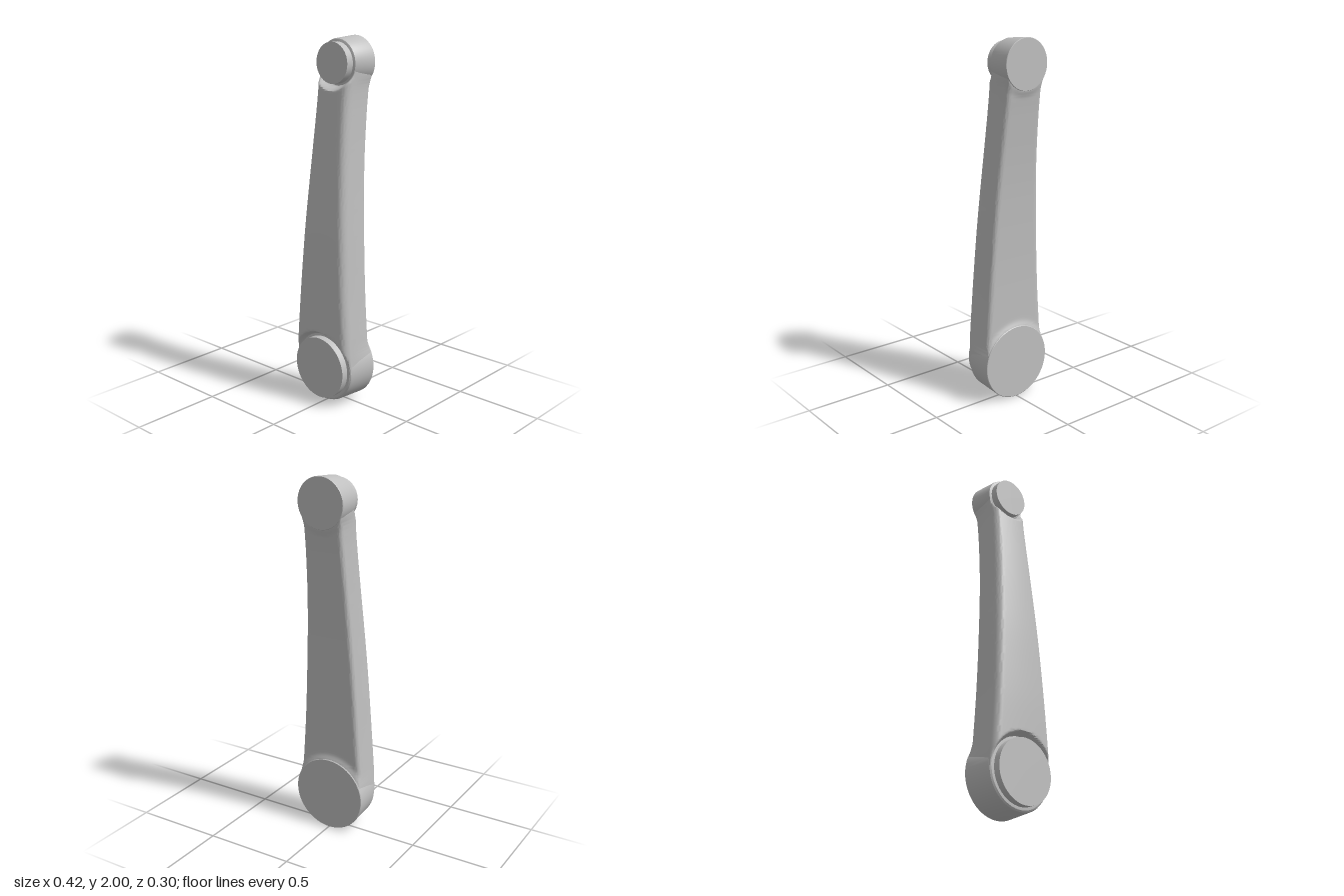
import * as THREE from 'three';
import { toCreasedNormals } from 'three/addons/utils/BufferGeometryUtils.js';

// Bosses at both ends: centre height, front and back planes, fillet radii
const BOTTOM = { y: 0.21, front: 0.108, back: -0.072, cut: [0.182, 0.21], fillet: [0.2, 0.255] };
const TOP = { y: 1.865, front: -0.002, back: -0.148, cut: [0.115, 0.145], fillet: [0.125, 0.19] };

// Arm stations: height, half width, front z, back z
const STATIONS = [
  [0.21, 0.198, 0.147, -0.055], [0.3, 0.193, 0.147, -0.055], [0.4, 0.186, 0.147, -0.055],
  [0.6, 0.172, 0.144, -0.056], [0.8, 0.16, 0.136, -0.06], [1.0, 0.148, 0.125, -0.068],
  [1.2, 0.136, 0.109, -0.079], [1.4, 0.125, 0.09, -0.096], [1.6, 0.117, 0.068, -0.118],
  [1.73, 0.115, 0.053, -0.134], [1.865, 0.12, 0.037, -0.143],
];

function armGeometry() {
  const [width, front, back] = [1, 2, 3].map(
    (k) => new THREE.SplineCurve(STATIONS.map((s) => new THREE.Vector2(s[0], s[k]))));
  const rows = 180, half = 36, ring = half * 2 + 2;
  const round = (x, w, r) => {
    const e = Math.min(1, Math.max(0, (Math.abs(x) - (w - r)) / r));
    return 1 - Math.sqrt(1 - e * e);
  };
  const pos = [], index = [];
  for (let j = 0; j <= rows; j++) {
    const { x: y, y: w } = width.getPoint(j / rows);
    const zf = front.getPoint(j / rows).y, zb = back.getPoint(j / rows).y;
    const boss = y < 1 ? BOTTOM : TOP;
    for (let i = 0; i < ring; i++) {
      const isFront = i <= half;
      const t = isFront ? i / half : 1 - (i - half - 1) / half;
      const s = Math.sin((t - 0.5) * Math.PI), x = s * w;
      const d = Math.hypot(x, y - boss.y);
      let z;
      if (isFront) {
        // crowned face with rounded edges, scooped out around the boss
        z = zf - 0.012 * s * s - 0.045 * round(x, w, 0.035);
        const low = Math.min(z, boss.front - 0.004);
        z = THREE.MathUtils.lerp(low, z, THREE.MathUtils.smoothstep(d, ...boss.cut));
      } else {
        // flat back, flaring up to meet the boss
        z = zb + 0.025 * round(x, w, 0.025);
        const k = 1 - THREE.MathUtils.smoothstep(d, ...boss.fillet);
        z = THREE.MathUtils.lerp(z, boss.back + 0.004, k * k);
      }
      pos.push(x, y, z);
      if (j < rows) {
        const a = j * ring + i, b = j * ring + ((i + 1) % ring);
        index.push(a, b, b + ring, a, b + ring, a + ring);
      }
    }
  }
  const g = new THREE.BufferGeometry();
  g.setAttribute('position', new THREE.Float32BufferAttribute(pos, 3));
  g.setIndex(index);
  return toCreasedNormals(g, 0.7);
}

// Round part turned about the z axis from [radius, z] points, back to front
function turned(name, y, profile, sides, material) {
  const g = new THREE.LatheGeometry(profile.map((p) => new THREE.Vector2(...p)), sides);
  g.rotateX(Math.PI / 2);
  const mesh = new THREE.Mesh(toCreasedNormals(g, 0.5), material);
  mesh.name = name;
  mesh.position.y = y;
  return mesh;
}

export function createModel() {
  const metal = new THREE.MeshStandardMaterial({ color: 0xc0c0c0 });
  metal.name = 'light grey metal';
  const group = new THREE.Group();
  group.name = 'crankArm';

  const arm = new THREE.Mesh(armGeometry(), metal);
  arm.name = 'arm';

  group.add(
    arm,
    turned('lowerBoss', BOTTOM.y,
      [[0, -0.072], [0.207, -0.072], [0.21, -0.069], [0.2, 0.092], [0.196, 0.101], [0.188, 0.107], [0.18, 0.108], [0, 0.108]], 64, metal),
    turned('lowerCap', BOTTOM.y, [[0, 0.09], [0.173, 0.09], [0.173, 0.147], [0, 0.147]], 48, metal),
    turned('upperBoss', TOP.y,
      [[0, -0.148], [0.133, -0.148], [0.135, -0.145], [0.125, -0.012], [0.122, -0.005], [0.116, -0.002], [0, -0.002]], 64, metal),
    turned('upperCap', TOP.y, [[0, -0.02], [0.108, -0.02], [0.108, 0.041], [0, 0.041]], 32, metal),
  );
  return group;
}
